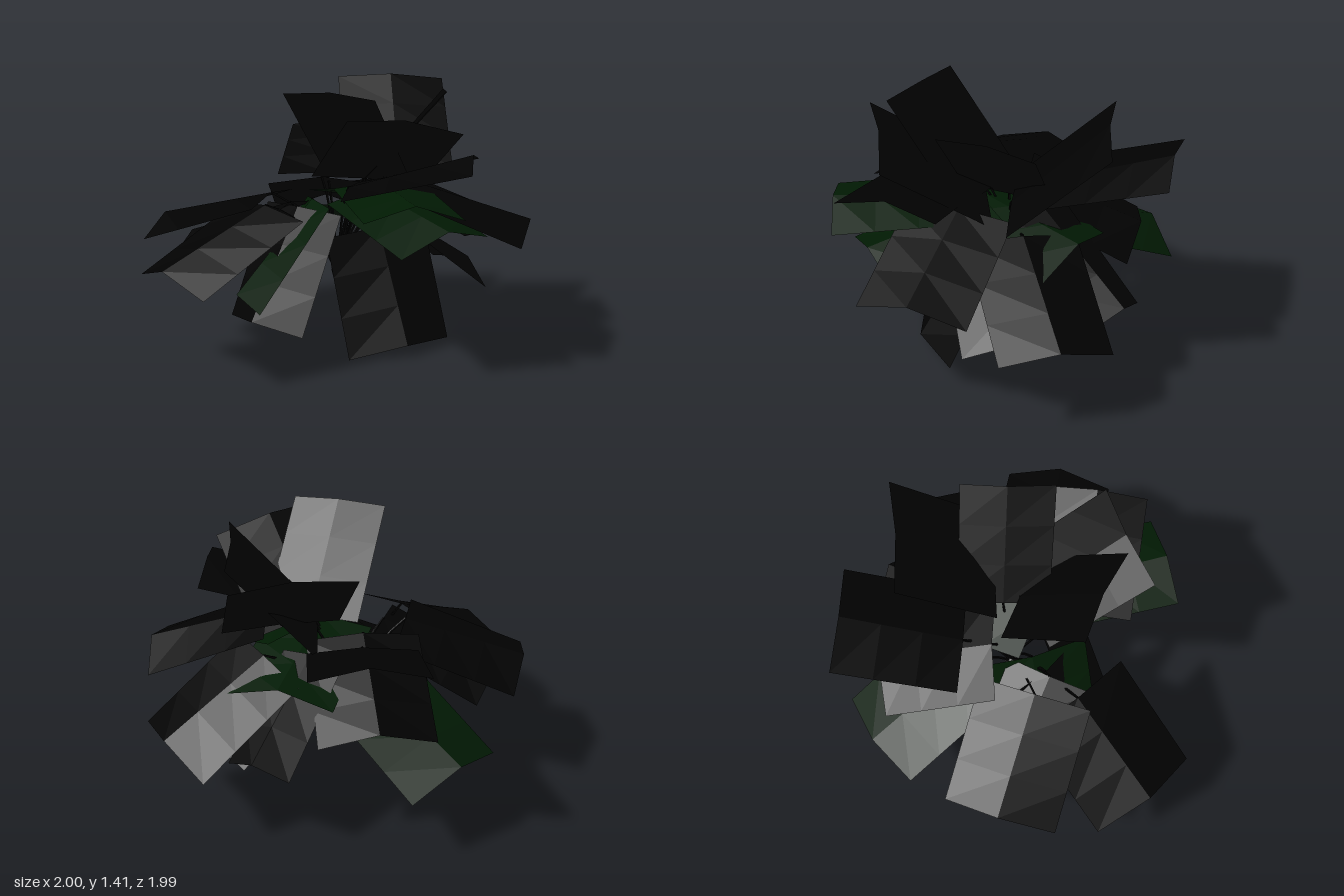
import * as THREE from 'three';

const dark = new THREE.MeshStandardMaterial({ color: 0x010101, side: THREE.DoubleSide, flatShading: true });
dark.name = 'nearly black leaf';
const green = new THREE.MeshStandardMaterial({ color: 0x011a03, side: THREE.DoubleSide, flatShading: true });
green.name = 'deep green leaf';

const ROOT = new THREE.Vector3(-0.08, 0.34, -0.11);
const LENGTH = 0.66, ROWS = 3;

// Blade placed by its tip edge (ax, az to bx, bz), the height y of its first corner,
// its tilt in degrees and the height change dy to its second corner.
// The blade runs back from the tip, square to that edge, toward the root.
function bladePoint([ax, az, bx, bz, y, tilt, dy = 0]) {
  const tip = new THREE.Vector3((ax + bx) / 2, y + dy / 2, (az + bz) / 2);
  const across = new THREE.Vector3(bx - ax, dy, bz - az);
  const out = new THREE.Vector3(az - bz, 0, bx - ax).normalize();
  if (out.dot(tip.clone().sub(ROOT)) < 0) out.negate();
  const t = THREE.MathUtils.degToRad(tilt);
  const along = out.clone().multiplyScalar(Math.cos(t)).setY(Math.sin(t));
  const up = out.multiplyScalar(-Math.sin(t)).setY(Math.cos(t));
  // Drooping leaves fold more sharply than raised ones
  const fold = Math.min(0.1, 0.075 - 0.001 * tilt);
  // s: 0 at the base to 1 at the tip; c: -1, 0, 1 across, with a raised midrib
  return (s, c) => tip.clone()
    .addScaledVector(along, (s - 1) * LENGTH)
    .addScaledVector(across, c / 2)
    .addScaledVector(up, c === 0 ? fold * (0.4 + 0.6 * s) : 0);
}

function bladeGeometry(point) {
  const pos = [], idx = [];
  for (let r = 0; r <= ROWS; r++) {
    for (let c = -1; c <= 1; c++) pos.push(...point(r / ROWS, c).toArray());
  }
  for (let r = 0; r < ROWS; r++) {
    for (let c = 0; c < 2; c++) {
      const i = r * 3 + c;
      idx.push(i, i + 1, i + 3, i + 1, i + 4, i + 3);
    }
  }
  const g = new THREE.BufferGeometry();
  g.setAttribute('position', new THREE.Float32BufferAttribute(pos, 3));
  g.setIndex(idx);
  g.computeVertexNormals();
  return g;
}

// Thin stalk rising from the root and bending out to the leaf base
function stemGeometry(end) {
  const bend = ROOT.clone().lerp(end, 0.35);
  bend.y = THREE.MathUtils.lerp(ROOT.y, end.y, 0.75);
  return new THREE.TubeGeometry(new THREE.QuadraticBezierCurve3(ROOT, bend, end), 6, 0.007, 4);
}

export function createModel() {
  const plant = new THREE.Group();
  plant.name = 'leafyPlant';

  function leaf(name, material, ...placement) {
    const point = bladePoint(placement);
    const blade = new THREE.Mesh(bladeGeometry(point), material);
    blade.name = name;
    const stem = new THREE.Mesh(stemGeometry(point(0, 0)), dark);
    stem.name = name + 'Stem';
    plant.add(blade, stem);
  }

  // Upright crown
  leaf('upperBackLeaf', dark, -0.26, -0.62, 0.3, -0.86, 1.39, 43, -0.015);
  leaf('upperLeftLeaf', dark, 0.54, -0.055, 0.42, -0.53, 1.385, 48, -0.055);
  leaf('upperFrontLeaf', dark, -0.21, 0.33, 0.3, 0.39, 1.385, 46, -0.01);
  leaf('upperFrontLeftLeaf', dark, 0.215, 0.56, 0.69, 0.17, 1.29, 33, -0.09);

  // Spreading middle
  leaf('backRightLeaf', dark, -0.65, -0.86, -0.1, -1.0, 1.06, 18, -0.01);
  leaf('leftHighLeaf', dark, 0.79, 0.38, 0.7, -0.15, 1.03, 13);
  leaf('leftLeaf', dark, 0.9, -0.44, 0.99, 0.13, 0.64, -21, -0.01);
  leaf('rightLeaf', dark, -0.99, -0.16, -0.98, 0.44, 0.59, -18);
  leaf('frontRightLeaf', dark, -0.88, 0.65, -0.35, 0.99, 0.46, -28);
  leaf('frontLeftGreenLeaf', green, 0.35, 0.7, 0.775, 0.425, 0.83, -4, -0.01);
  leaf('frontLeftLowGreenLeaf', green, 0.48, 0.51, 0.8, 0.05, 0.62, -15, 0.04);
  leaf('backGreenLeaf', green, -0.14, -0.65, 0.42, -0.59, 0.68, -13);

  // Drooping skirt
  leaf('backLeftLeaf', dark, 0.43, -0.99, 0.86, -0.59, 0.4, -32, 0.055);
  leaf('backLeaf', dark, 0.015, -0.93, 0.35, -0.83, 0.43, -35);
  leaf('backRightLowLeaf', dark, -0.66, -0.62, -0.1, -0.81, 0.56, -25);
  leaf('backLeftLowLeaf', dark, 0.72, -0.3, 0.3, -0.74, 0.29, -38, 0.04);
  leaf('backRightGreenLeaf', green, -0.92, -0.4, -0.58, -0.88, 0.39, -25, -0.035);
  leaf('rightLowLeaf', dark, -0.8, -0.13, -0.85, 0.35, 0.49, -24);
  leaf('frontLowLeaf', dark, 0.14, 0.31, 0.555, -0.12, 0, -65, 0.04);
  leaf('frontRightLowLeaf', dark, -0.6, 0.17, -0.05, 0.49, 0.13, -67, 0.025);
  leaf('rightLowGreenLeaf', green, -0.61, -0.02, -0.29, 0.48, 0.2, -56, 0.05);

  // Root knot where the stalks meet
  const knot = new THREE.Mesh(new THREE.CylinderGeometry(0.035, 0.02, 0.06, 7), dark);
  knot.name = 'rootKnot';
  knot.position.copy(ROOT);
  plant.add(knot);
  return plant;
}
